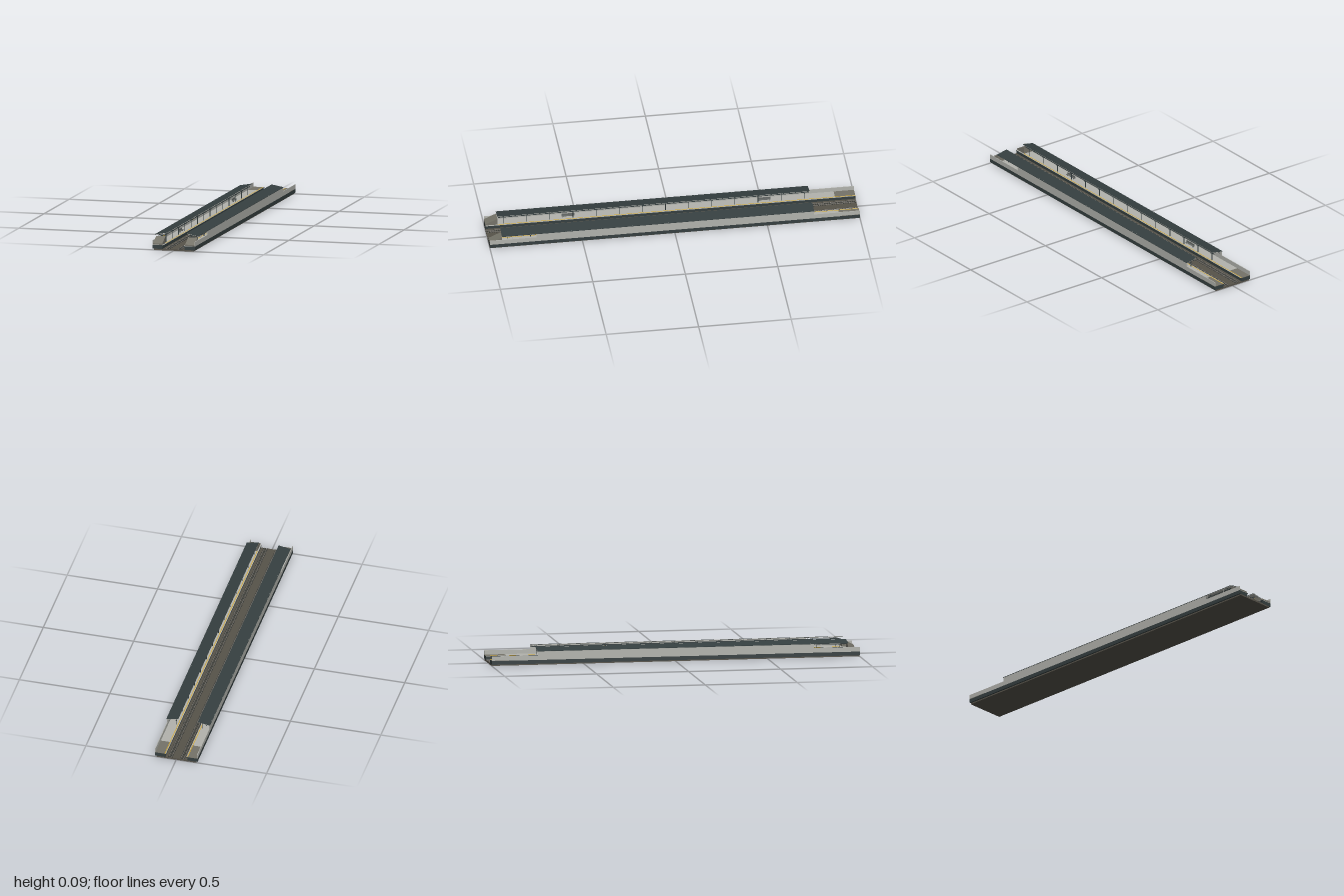
import * as THREE from 'three';

const mat = (name, color) => {
  const m = new THREE.MeshStandardMaterial({ color });
  m.name = name;
  return m;
};

export function createModel() {
  const root = new THREE.Group();
  root.name = 'railwayStation';
  const M = {
    dark: mat('dark slate', 0x353f40),
    wall: mat('pale concrete', 0xb2b3ad),
    stone: mat('grey stone', 0x757369),
    ballast: mat('ballast brown', 0x57534a),
    sleeper: mat('sleeper charcoal', 0x3a3c38),
    rail: mat('rail steel', 0x8a8680),
    yellow: mat('safety yellow', 0xd9a925),
    bench: mat('bench grey', 0x666a68),
  };

  const add = (parent, name, geo, m) => {
    const mesh = new THREE.Mesh(geo, m);
    mesh.name = name;
    parent.add(mesh);
    return mesh;
  };
  // box given by its limits on each axis
  const box = (parent, name, m, x0, x1, y0, y1, z0, z1) => {
    const mesh = add(parent, name, new THREE.BoxGeometry(Math.abs(x1 - x0), y1 - y0, z1 - z0), m);
    mesh.position.set((x0 + x1) / 2, (y0 + y1) / 2, (z0 + z1) / 2);
    return mesh;
  };

  // track bed
  box(root, 'baseSlab', M.ballast, -0.11, 0.11, 0, 0.007, -1, 1);
  box(root, 'ballastBed', M.ballast, -0.06, 0.06, 0.007, 0.009, -1, 1);

  // two tracks: instanced sleepers and pairs of rails
  const count = 160;
  for (const s of [-1, 1]) {
    const track = new THREE.Group();
    track.name = s > 0 ? 'leftTrack' : 'rightTrack';
    root.add(track);
    const cx = s * 0.033;
    for (let i = 0; i < count; i++) {
      const z = -1 + (i + 0.5) * 2 / count;
      box(track, 'sleeper', M.sleeper, cx - 0.013, cx + 0.013, 0.009, 0.0102, z - 0.0035, z + 0.0035);
    }
    for (const r of [-0.0075, 0.0075]) {
      box(track, 'rail', M.rail, cx + r - 0.0007, cx + r + 0.0007, 0.009, 0.0122, -1, 1);
    }
  }

  // platform with its walls, canopy and furniture, mirrored by s
  for (const s of [-1, 1]) {
    const g = new THREE.Group();
    g.name = s > 0 ? 'leftPlatform' : 'rightPlatform';
    root.add(g);
    const b = (name, m, x0, x1, y0, y1, z0, z1) => box(g, name, m, s * x0, s * x1, y0, y1, z0, z1);

    b('platformBase', M.dark, 0.061, 0.118, 0.007, 0.027, -1, 1);
    b('platformDeck', M.wall, 0.06, 0.118, 0.027, 0.029, -0.89, 1);
    b('backDeck', M.stone, 0.06, 0.118, 0.027, 0.029, -1, -0.89);
    b('platformLip', M.dark, 0.056, 0.061, 0.023, 0.028, -1, 1);
    b('copingEdge', M.wall, 0.056, 0.06, 0.028, 0.029, -1, 1);
    b('safetyLine', M.yellow, 0.061, 0.0645, 0.029, 0.0295, -1, 0.935);

    // outer parapet and taller back wall
    b('parapet', M.wall, 0.1145, 0.118, 0.029, 0.052, -1, 1);
    b('backWall', M.wall, 0.1145, 0.118, 0.052, 0.076, -0.75, 0.75);

    // sloped block closing the front end
    const side = new THREE.Shape([[0.935, 0.029], [1, 0.029], [1, 0.036], [0.935, 0.066]]
      .map(([z, y]) => new THREE.Vector2(-z, y)));
    const wedge = new THREE.ExtrudeGeometry(side, { depth: 0.0515, bevelEnabled: false });
    wedge.rotateY(Math.PI / 2);
    wedge.translate(s > 0 ? 0.063 : -0.1145, 0, 0);
    add(g, 'frontRamp', wedge, M.stone);

    // tilted canopy, high toward the tracks, with pale soffit
    const tilt = -s * Math.atan2(0.012, 0.066);
    const canopy = new THREE.Group();
    canopy.name = 'canopy';
    canopy.position.set(s * 0.0875, 0.0795, 0.0925);
    canopy.rotation.z = tilt;
    g.add(canopy);
    box(canopy, 'roofSheet', M.dark, -0.0335, 0.0335, 0.0002, 0.002, -0.8435, 0.8435);
    box(canopy, 'soffit', M.wall, -0.0325, 0.0325, -0.0018, 0.0002, -0.8432, 0.8432);

    // canopy beams along the platform
    b('innerBeam', M.dark, 0.066, 0.069, 0.07, 0.073, -0.75, 0.93);
    b('outerBeam', M.dark, 0.1, 0.103, 0.067, 0.07, -0.75, 0.93);

    // posts with cross arms and lamps
    for (let i = 0; i < 14; i++) {
      const z = -0.725 + i * 0.125;
      b('post', M.dark, 0.069, 0.072, 0.029, 0.081, z - 0.0015, z + 0.0015);
      b('crossArm', M.dark, 0.062, 0.115, 0.069, 0.0715, z - 0.0015, z + 0.0015);
      b('lamp', M.wall, 0.075, 0.09, 0.0675, 0.069, z - 0.002, z + 0.002);
    }

    // open front bay
    for (const z of [0.76, 0.877]) {
      b('bayPost', M.wall, 0.115, 0.117, 0.052, 0.075, z - 0.001, z + 0.001);
    }

    // benches
    for (const z of [-0.51, 0.55]) {
      b('benchSeat', M.bench, 0.079, 0.089, 0.035, 0.037, z - 0.035, z + 0.035);
      b('benchBack', M.bench, 0.088, 0.09, 0.037, 0.046, z - 0.035, z + 0.035);
      for (const d of [-0.028, 0.028]) {
        b('benchLeg', M.bench, 0.081, 0.088, 0.029, 0.035, z + d - 0.002, z + d + 0.002);
      }
    }

    // hanging sign boards
    for (const z of [-0.35, 0.35, 0.92]) {
      b('signBoard', M.dark, 0.072, 0.096, 0.063, 0.069, z - 0.001, z + 0.001);
      b('signStripe', M.yellow, 0.072, 0.096, 0.0655, 0.0665, z - 0.0014, z + 0.0014);
    }
  }
  return root;
}
